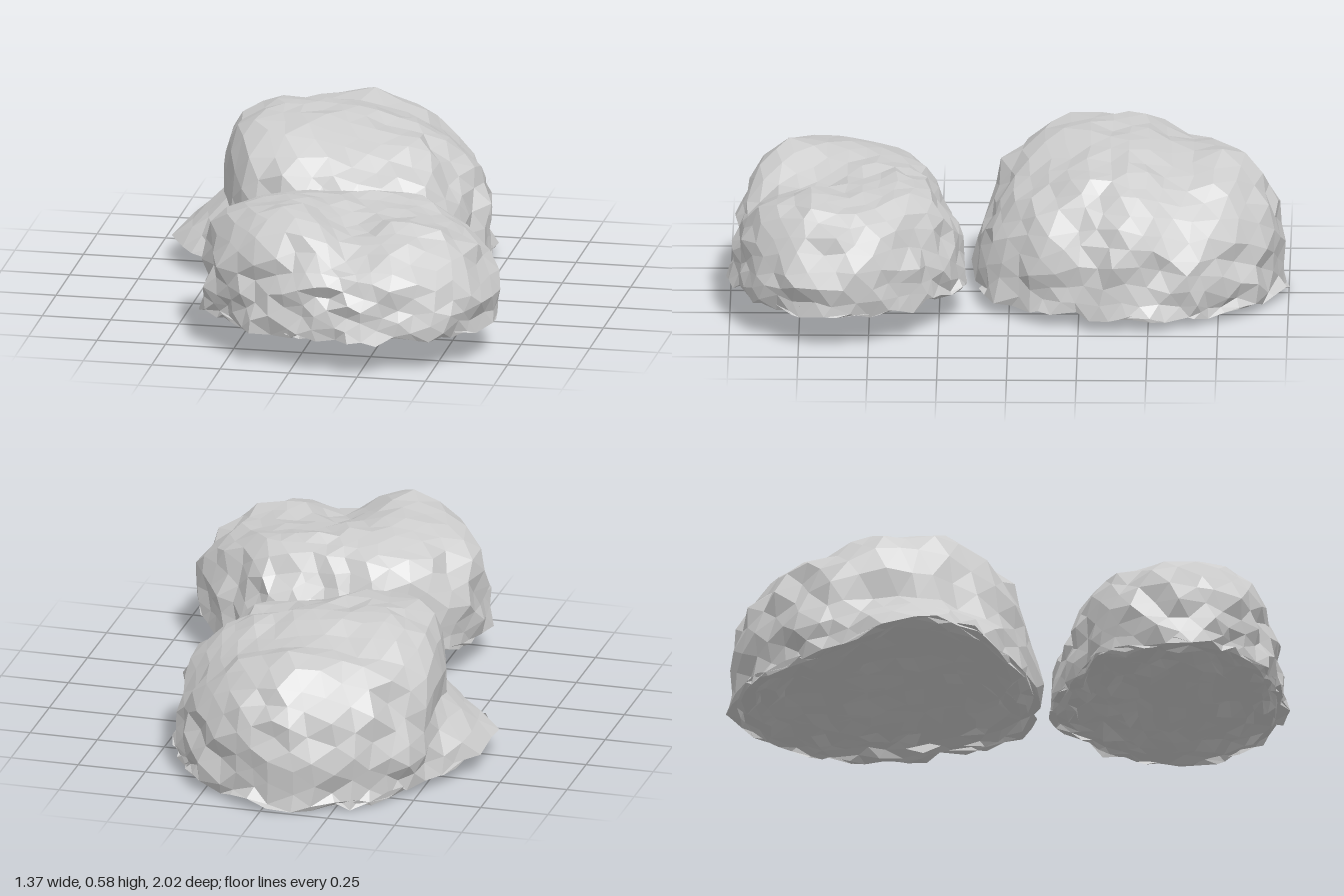
import * as THREE from 'three';
import { mergeVertices } from 'three/addons/utils/BufferGeometryUtils.js';

const material = new THREE.MeshStandardMaterial({ color: 0xcccccc, flatShading: true });

// Small seeded generator giving -1..1
function seeded(seed) {
  let s = seed;
  return () => {
    s = (s * 16807) % 2147483647;
    return (s / 2147483647) * 2 - 1;
  };
}

const bump = (d, width) => Math.exp(-((d / width) ** 2));
const turn = (a, b) => Math.atan2(Math.sin(a - b), Math.cos(a - b));

// Periodic lookup of the plan radius, angle measured from +x towards +z
function planRadius(radii, angle) {
  const n = radii.length;
  const f = ((angle / (2 * Math.PI) + 1) % 1) * n;
  const i = Math.floor(f), k = f - i;
  return radii[i % n] * (1 - k) + radii[(i + 1) % n] * k;
}

// A boulder: a sphere squared into a flat-bottomed dome, fitted to a plan outline, then roughened
function boulder({ name, center, radii, base, top, power, steep, slope, ledge, seed }) {
  const sphere = new THREE.IcosahedronGeometry(1, 7);
  sphere.deleteAttribute('uv');
  sphere.deleteAttribute('normal');
  const geometry = mergeVertices(sphere, 1e-4);
  const pos = geometry.attributes.position;
  const rand = seeded(seed);
  for (let i = 0; i < pos.count; i++) {
    const dx = pos.getX(i), dy = pos.getY(i), dz = pos.getZ(i);
    const rho = Math.hypot(dx, dz);
    const angle = Math.atan2(dz, dx);

    // the right-hand flank has a squarer shoulder, the flank facing the other boulder slopes more
    const p = power + steep * bump(turn(angle, 2.85), 0.85)
      - slope.amount * bump(turn(angle, slope.angle), 0.75);
    const k = dy > 0 ? (rho ** p + dy ** p) ** (-1 / p) : 1;
    const rise = Math.max(dy, 0) * k;
    let spread = rho * k * planRadius(radii, angle);

    // broad lumps and facet-sized roughness
    spread *= 1 + 0.012 * Math.sin(9 * angle + 6 * dy + seed) + 0.022 * rand();
    let x = center[0] + Math.cos(angle) * spread;
    let z = center[1] + Math.sin(angle) * spread;
    const floor = base(x, z);
    let y = floor + rise * (top(x, z) - floor);
    y += dy > 0 ? 0.012 * rand() : 0.03 * (1 - rho ** 4) + 0.02 * rand();
    x += 0.016 * rand() * Math.min(1, rho + 0.2);
    z += 0.016 * rand() * Math.min(1, rho + 0.2);

    // thin shelf spreading from the foot of one side
    if (ledge) {
      const side = bump(turn(angle, ledge.angle), ledge.width) * rho ** 3;
      const low = Math.min(1, Math.max(0, 1 - (y - floor) / ledge.height));
      x += Math.cos(angle) * ledge.reach * side * low;
      z += Math.sin(angle) * ledge.reach * side * low;
      y += ledge.lift * side * low;
    }
    pos.setXYZ(i, x, Math.max(0, y), z);
  }
  geometry.computeVertexNormals();
  const mesh = new THREE.Mesh(geometry, material);
  mesh.name = name;
  return mesh;
}

export function createModel() {
  const group = new THREE.Group();
  group.name = 'boulders';

  // Large rear boulder with a shelf on its right side, its top falling away to the left
  group.add(boulder({
    name: 'rearBoulder',
    center: [-0.03, -0.43],
    radii: [0.49, 0.48, 0.53, 0.555, 0.54, 0.56, 0.53, 0.48,
      0.48, 0.51, 0.53, 0.55, 0.56, 0.54, 0.51, 0.48],
    base: (x, z) => 0.056 + 0.028 * z + 0.02 * x,
    top: (x, z) => 0.572 - 0.05 * bump(z + 0.62, 0.09) - 0.17 * Math.max(0, x + 0.05)
      + 0.008 * Math.sin(9 * x + 6 * z),
    power: 2.9,
    steep: 3.6,
    slope: { angle: 1.57, amount: 1.0 },
    ledge: { angle: 2.88, width: 0.48, reach: 0.19, height: 0.22, lift: 0.07 },
    seed: 17,
  }));

  // Smaller front boulder, highest at its front right, with a grooved top and a raised rear rim
  group.add(boulder({
    name: 'frontBoulder',
    center: [0.15, 0.58],
    radii: [0.53, 0.52, 0.48, 0.43, 0.41, 0.42, 0.46, 0.51,
      0.54, 0.5, 0.43, 0.4, 0.42, 0.45, 0.43, 0.48],
    base: (x, z) => 0.128 + 0.02 * (z - 0.4),
    top: (x, z) => 0.51 + 0.06 * bump(Math.hypot(x + 0.1, z - 0.77), 0.2)
      + 0.06 * bump(z - 0.3, 0.1)
      - 0.07 * bump(x - 0.19, 0.1) * bump(z - 0.85, 0.25)
      + 0.01 * Math.sin(16 * z + 5 * x),
    power: 3.1,
    steep: 2,
    slope: { angle: -1.57, amount: 0.9 },
    seed: 101,
  }));

  return group;
}
